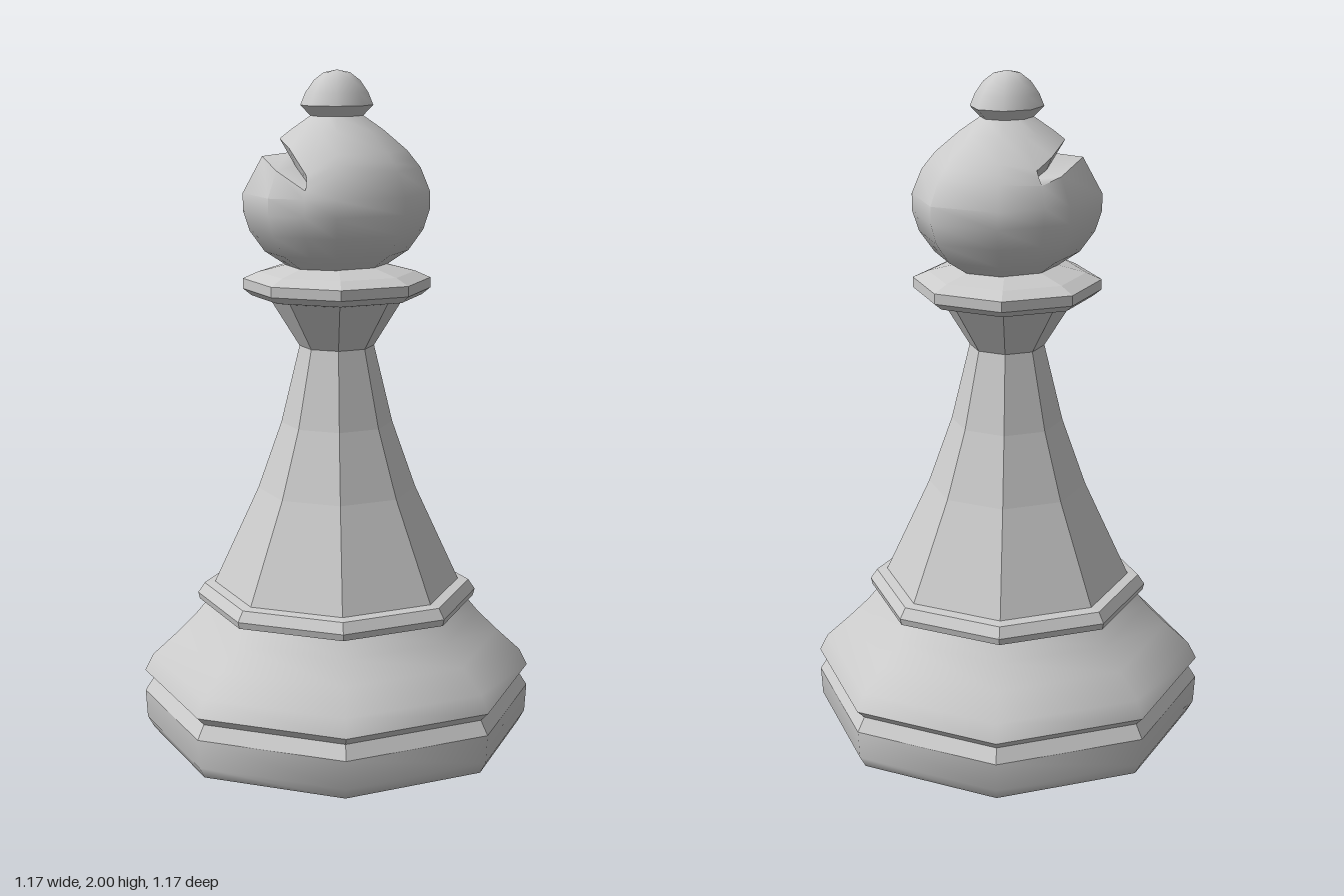
import * as THREE from 'three';
import { toCreasedNormals } from 'three/addons/utils/BufferGeometryUtils.js';

const SIDES = 8;
const HEAD_SQUASH = 0.915; // head and finial are slightly narrower in x

// Eight-sided turned part from [radius, height] pairs, bottom to top.
function turned(name, profile, flat = false) {
  const points = profile.map(([r, y]) => new THREE.Vector2(r, y));
  const material = new THREE.MeshStandardMaterial({ color: 0xcccccc, flatShading: flat, side: THREE.DoubleSide });
  const mesh = new THREE.Mesh(new THREE.LatheGeometry(points, SIDES), material);
  mesh.name = name;
  return mesh;
}

const headProfile = [
  [0.14, 1.43], [0.22, 1.48], [0.265, 1.54], [0.285, 1.6], [0.285, 1.65],
  [0.255, 1.72], [0.205, 1.78], [0.14, 1.83], [0.08, 1.87],
];

function headRadius(y) {
  for (let i = 1; i < headProfile.length; i++) {
    const [r0, y0] = headProfile[i - 1], [r1, y1] = headProfile[i];
    if (y <= y1) return THREE.MathUtils.lerp(r0, r1, (y - y0) / (y1 - y0));
  }
  return headProfile.at(-1)[0];
}

// Point on the octagonal head at an angle measured from the front.
function headPoint(degrees, r, y) {
  const a = THREE.MathUtils.degToRad(degrees);
  const half = Math.PI / SIDES;
  const local = THREE.MathUtils.euclideanModulo(a, 2 * half) - half;
  const k = r * Math.cos(half) / Math.cos(local);
  return [k * Math.sin(a) * HEAD_SQUASH, y, k * Math.cos(a)];
}

// Rounded head with a slanting notch over its front right side.
function notchedHead() {
  // angle, notch bottom, notch top, whether the notch is open there
  const columns = [
    [-180, 1.72, 1.77], [-135, 1.72, 1.77], [-106, 1.71, 1.75], [-105, 1.71, 1.75, true],
    [-90, 1.73, 1.78, true], [-45, 1.755, 1.805, true], [0, 1.725, 1.785, true],
    [23, 1.675, 1.715, true], [24, 1.675, 1.715], [45, 1.72, 1.77], [90, 1.72, 1.77],
    [135, 1.72, 1.77], [180, 1.72, 1.77],
  ];
  const positions = [], index = [];
  let rows;
  columns.forEach(([angle, lo, hi, open]) => {
    const section = [
      ...headProfile.slice(0, 5),
      [headRadius(lo), lo],
      open ? [headRadius(hi) - 0.025, lo + 0.01] : [headRadius((lo + hi) / 2), (lo + hi) / 2],
      [headRadius(hi), hi],
      ...headProfile.slice(-2),
    ];
    rows = section.length;
    section.forEach(([r, y]) => positions.push(...headPoint(angle, r, y)));
  });
  for (let c = 0; c < columns.length - 1; c++) {
    for (let r = 0; r < rows - 1; r++) {
      const a = c * rows + r, b = a + rows;
      index.push(a, b, a + 1, b, b + 1, a + 1);
    }
  }
  const geometry = new THREE.BufferGeometry();
  geometry.setAttribute('position', new THREE.Float32BufferAttribute(positions, 3));
  geometry.setIndex(index);
  const mesh = new THREE.Mesh(
    toCreasedNormals(geometry, 0.9),
    new THREE.MeshStandardMaterial({ color: 0xcccccc, side: THREE.DoubleSide }),
  );
  mesh.name = 'notchedHead';
  return mesh;
}

export function createModel() {
  const group = new THREE.Group();
  group.name = 'chessPiece';

  // Foot, groove and sloping base
  group.add(
    turned('underside', [[0, 0], [0.52, 0]], true),
    turned('foot', [[0.52, 0], [0.56, 0.015], [0.58, 0.05], [0.585, 0.135]]),
    turned('groove', [[0.585, 0.135], [0.56, 0.175], [0.585, 0.2]], true),
    turned('slopingBase', [[0.585, 0.2], [0.56, 0.25], [0.49, 0.315], [0.43, 0.375], [0.385, 0.43]]),
  );

  // Ring and stem
  group.add(
    turned('baseRing', [[0.385, 0.42], [0.415, 0.425], [0.42, 0.445], [0.4, 0.475], [0.36, 0.48]], true),
    turned('stem', [[0.37, 0.475], [0.235, 0.77], [0.165, 0.97], [0.11, 1.2], [0.2, 1.345]], true),
  );

  // Collar under the head
  group.add(turned('collar', [
    [0.19, 1.34], [0.25, 1.35], [0.275, 1.37], [0.275, 1.4], [0.23, 1.42], [0.13, 1.445],
  ], true));

  // Head and finial
  const finialNeck = turned('finialNeck', [[0.07, 1.86], [0.11, 1.9]], true);
  const finial = turned('finial', [[0.11, 1.9], [0.095, 1.935], [0.07, 1.97], [0.04, 1.992], [0, 2]]);
  finialNeck.scale.x = finial.scale.x = HEAD_SQUASH;
  group.add(notchedHead(), finialNeck, finial);

  return group;
}
